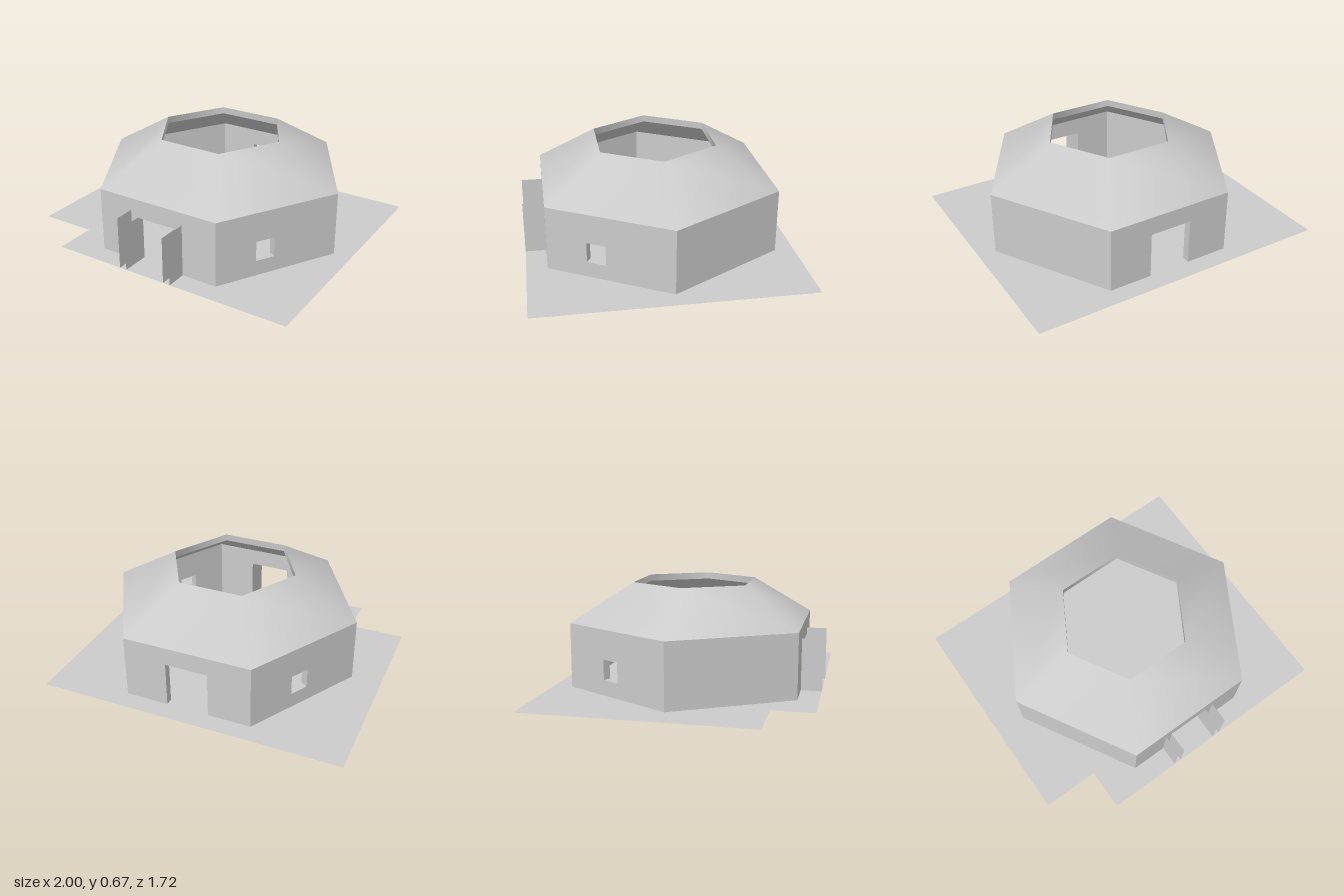
import * as THREE from 'three';

const R = 0.845, TOP_R = 0.425;        // eave and roof-opening corner radii
const APOTHEM = R * Math.cos(Math.PI / 6);
const WALL_H = 0.42, ROOF_H = 0.67, T = 0.05;
const INNER_R = R - T / Math.cos(Math.PI / 6);
const CENTRE = [0.04, 0, -0.005];

const material = new THREE.MeshStandardMaterial({ color: 0xcccccc });
const thin = new THREE.MeshStandardMaterial({ color: 0xcccccc, side: THREE.DoubleSide });

function add(parent, name, geometry, mat = material) {
  const mesh = new THREE.Mesh(geometry, mat);
  mesh.name = name;
  parent.add(mesh);
  return mesh;
}

function polygon(points, Type = THREE.Shape) {
  return new Type(points.map(([x, y]) => new THREE.Vector2(x, y)));
}

// One wall panel, mitred at both ends to meet its neighbours
function wallGeometry(opening) {
  const h = R / 2;
  let shape = polygon([[-h, 0], [h, 0], [h, WALL_H], [-h, WALL_H]]);
  if (opening === 'door') {
    shape = polygon([[-h, 0], [-0.14, 0], [-0.14, 0.3], [0.14, 0.3], [0.14, 0], [h, 0], [h, WALL_H], [-h, WALL_H]]);
  } else if (opening !== null) {
    const a = opening - 0.063, b = opening + 0.063;
    shape.holes.push(polygon([[a, 0.1], [a, 0.23], [b, 0.23], [b, 0.1]], THREE.Path));
  }
  const geometry = new THREE.ExtrudeGeometry(shape, { depth: T, bevelEnabled: false });
  const p = geometry.attributes.position;
  for (let i = 0; i < p.count; i++) {
    if (Math.abs(p.getX(i)) > h - 0.001 && p.getZ(i) < T / 2) p.setX(i, p.getX(i) * INNER_R / R);
  }
  geometry.translate(0, 0, APOTHEM - T);
  geometry.computeVertexNormals();
  return geometry;
}

// Six-sided ring surface between two profile points
function hexRing(r1, y1, r2, y2) {
  return new THREE.LatheGeometry([new THREE.Vector2(r1, y1), new THREE.Vector2(r2, y2)], 6, Math.PI / 2);
}

export function createModel() {
  const model = new THREE.Group();
  model.name = 'hexagonalHut';

  // Flat ground slab with a notched front corner
  const ground = polygon([[-1, 0.86], [-1, -0.59], [-0.63, -0.59], [-0.63, -0.86], [1, -0.86], [1, 0.86]]);
  add(model, 'groundSlab', new THREE.ShapeGeometry(ground).rotateX(-Math.PI / 2), thin);

  const hut = new THREE.Group();
  hut.name = 'hut';
  hut.position.set(...CENTRE);
  model.add(hut);

  // Walls, anticlockwise from the front: doors front and back, two windows
  const walls = [
    ['frontWall', 'door'], ['frontLeftWall', -0.087], ['backLeftWall', null],
    ['backWall', 'door'], ['backRightWall', -0.042], ['frontRightWall', null],
  ];
  walls.forEach(([name, opening], i) => {
    add(hut, name, wallGeometry(opening)).rotation.y = i * Math.PI / 3;
  });

  // Sloping roof, open at the top
  add(hut, 'roofSlope', hexRing(R, WALL_H, TOP_R, ROOF_H));
  add(hut, 'roofRim', hexRing(TOP_R, ROOF_H, TOP_R, ROOF_H - 0.045));
  add(hut, 'roofUnderside', hexRing(TOP_R, ROOF_H - 0.045, INNER_R, WALL_H - 0.005));

  // Thin upright panels flanking the front doorway, an inner and a taller outer pair
  for (const side of [-1, 1]) {
    for (const [name, x, height, z0] of [['innerDoorPanel', 0.138, 0.3, APOTHEM - T], ['outerDoorPanel', 0.187, 0.34, APOTHEM]]) {
      const depth = 0.865 - z0;
      const panel = add(hut, name, new THREE.PlaneGeometry(depth, height), thin);
      panel.rotation.y = side * Math.PI / 2;
      panel.position.set(side * x, height / 2, z0 + depth / 2);
    }
  }
  return model;
}
